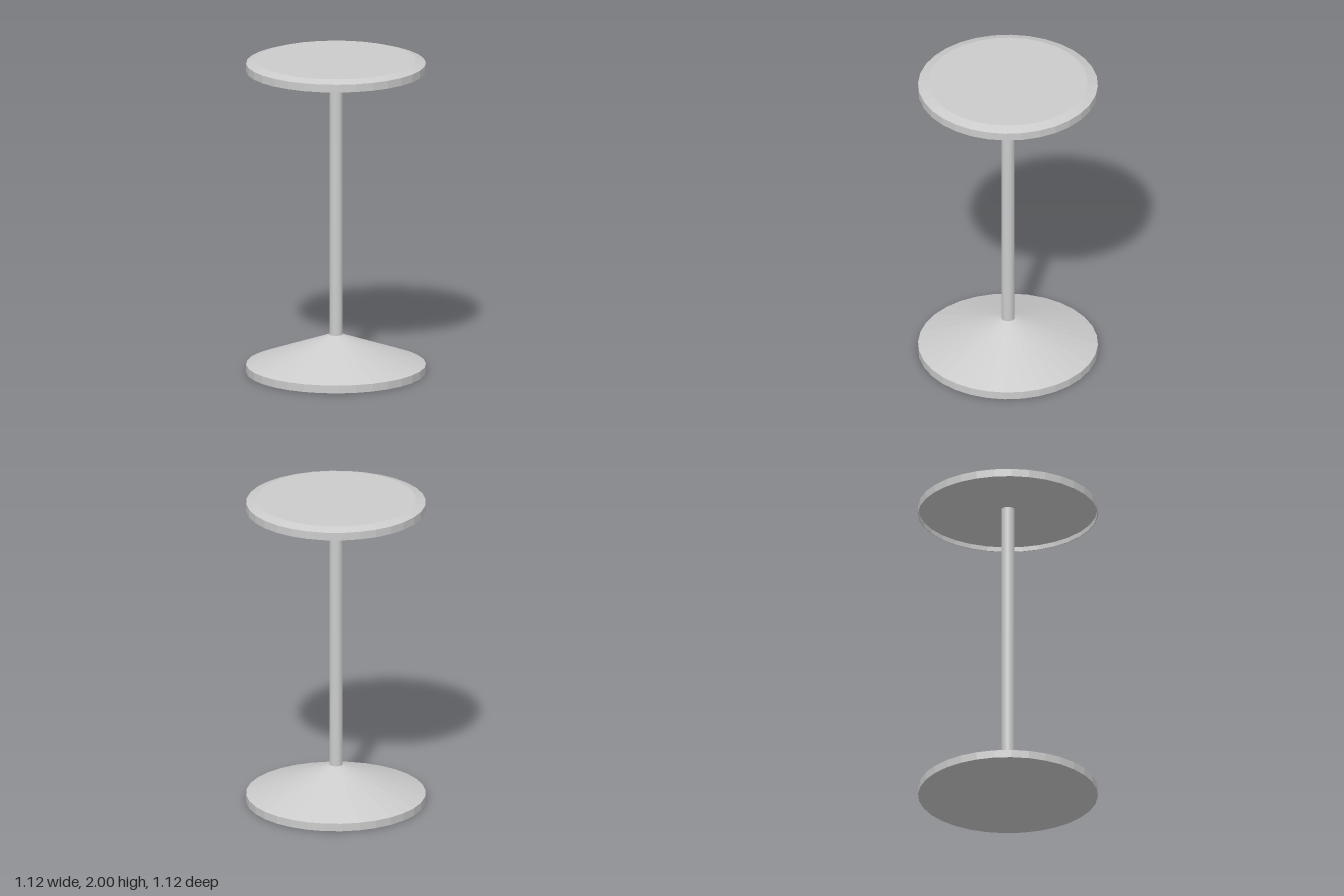
import * as THREE from 'three';

const SIDES = 32;

// Faceted round part from a bottom-to-top outline of [radius, height] points
function turned(name, outline, material) {
  const points = outline.map(([r, y]) => new THREE.Vector2(r, y));
  const mesh = new THREE.Mesh(new THREE.LatheGeometry(points, SIDES), material);
  mesh.name = name;
  return mesh;
}

export function createModel() {
  const group = new THREE.Group();
  group.name = 'pedestalTable';
  const material = new THREE.MeshStandardMaterial({ color: 0xcccccc, flatShading: true });

  // Weighted foot: flat underside, short rim, cone rising to the pole
  group.add(turned('base', [[0, 0], [0.56, 0], [0.56, 0.05], [0.042, 0.24]], material));

  // Slim pole, running up into the recess of the top
  group.add(turned('pole', [[0.042, 0.24], [0.042, 1.96]], material));

  // Round top: recessed underside, thin hanging rim, bevelled upper edge
  group.add(turned('tableTop', [
    [0, 1.96], [0.555, 1.96], [0.556, 1.93], [0.56, 1.93],
    [0.56, 1.98], [0.497, 2], [0, 2],
  ], material));

  return group;
}
